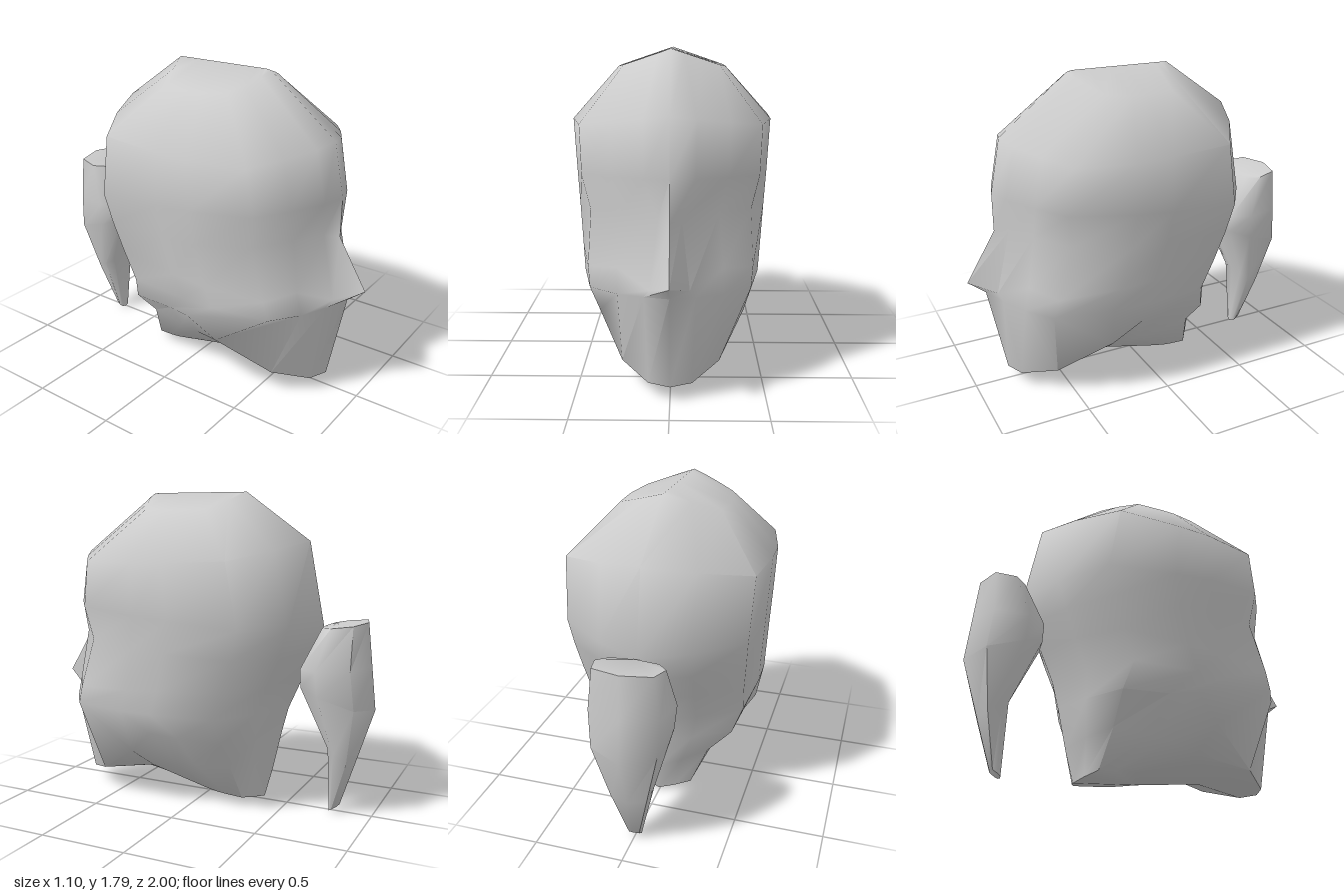
import * as THREE from 'three';
import { toCreasedNormals } from 'three/addons/utils/BufferGeometryUtils.js';

const lerp = THREE.MathUtils.lerp;

// Rows run top to bottom; each is a half outline from front centre to back centre, mirrored in x.
function loft(rows, capTop) {
  const loops = rows.map((half) => [
    ...half,
    ...half.slice(1, -1).reverse().map(([x, y, z]) => [-x, y, z]),
  ]);
  const n = loops[0].length;
  const last = (loops.length - 1) * n;
  const index = [];
  for (let a = 0; a < last; a++) {
    const b = (a + 1) % n === 0 ? a + 1 - n : a + 1;
    index.push(a, a + n, b, b, a + n, b + n);
  }
  for (let j = 1; j < n - 1; j++) {
    if (capTop) index.push(0, j, j + 1);
    index.push(last, last + j + 1, last + j);
  }
  const geometry = new THREE.BufferGeometry();
  geometry.setAttribute('position', new THREE.Float32BufferAttribute(loops.flat(2), 3));
  geometry.setIndex(index);
  return toCreasedNormals(geometry, 1.1);
}

// Plan outlines: fraction of half width, fraction of depth from back to front
const skullPlan = [[0, 1], [0.24, 0.975], [0.55, 0.91], [0.86, 0.83], [0.99, 0.6], [1, 0.46], [0.96, 0.2], [0.48, 0.08], [0, 0]];
const tailPlan = [[0, 1], [0.7, 0.92], [1, 0.65], [0.85, 0.18], [0, 0]];

// Scales a plan to one row; drop lowers the row towards its sides
function row(plan, yFront, yBack, width, zFront, zBack, drop = 0) {
  return plan.map(([f, t]) => [f * width, lerp(yBack, yFront, t) - drop * f, lerp(zBack, zFront, t)]);
}

function headGeometry() {
  const skull = (...size) => row(skullPlan, ...size);
  const ridge = skull(1.79, 1.79, 0, 0.34, -0.2);
  const crown = skull(1.785, 1.79, 0.3, 0.37, -0.23, 0.1);
  const temples = skull(1.47, 1.52, 0.55, 0.77, -0.61, 0.085);
  const brow = skull(1.17, 1.05, 0.535, 0.83, -0.7);

  // Eye sockets set back beside a narrow nose bridge
  const eyes = skull(0.95, 0.9, 0.52, 0.83, -0.645);
  eyes[1] = [0.06, 0.96, 0.765];
  eyes[2] = [0.25, 0.98, 0.69];
  eyes[3] = [0.42, 0.96, 0.54];

  // Nose tip, nostrils and cheekbones
  const cheeks = skull(0.66, 0.75, 0.5, 0.87, -0.58);
  cheeks[0] = [0, 0.67, 1];
  cheeks[1] = [0.1, 0.62, 0.86];
  cheeks[2] = [0.27, 0.7, 0.735];

  const lip = skull(0.57, 0.57, 0.487, 0.89, -0.5);
  lip[0] = [0, 0.59, 0.9];
  lip[1] = [0.13, 0.58, 0.84];

  // Jaw edge curves up and back from the chin; the nape continues the skull
  const jaw = skull(0.46, 0.42, 0.43, 0.54, -0.46).map((point, i) => {
    const f = skullPlan[i][0];
    return i < 5 ? [0.475 * f, 0.08 + 0.39 * f ** 3.2, 0.8 - 0.66 * f ** 1.9] : point;
  });

  const throat = skull(0.1, 0.2, 0.28, 0.4, -0.41, -0.09);
  const neck = skull(0.05, 0.02, 0.185, 0, -0.36, -0.03);
  return loft([ridge, crown, temples, brow, eyes, cheeks, lip, jaw, throat, neck], false);
}

function tailGeometry() {
  const tail = (...size) => row(tailPlan, ...size);
  return loft([
    tail(1.06, 1.09, 0.19, -0.71, -0.95),
    tail(0.83, 0.85, 0.225, -0.585, -0.975),
    tail(0.74, 0.61, 0.21, -0.585, -1),
    tail(0.39, 0.3, 0.12, -0.75, -0.9),
    tail(0, 0.04, 0.035, -0.755, -0.815),
  ], true);
}

export function createModel() {
  const model = new THREE.Group();
  model.name = 'headWithPonytail';
  const material = new THREE.MeshStandardMaterial({ color: 0xcccccc });
  const parts = { head: headGeometry(), ponytail: tailGeometry() };
  for (const [name, geometry] of Object.entries(parts)) {
    const mesh = new THREE.Mesh(geometry, material);
    mesh.name = name;
    model.add(mesh);
  }
  return model;
}
